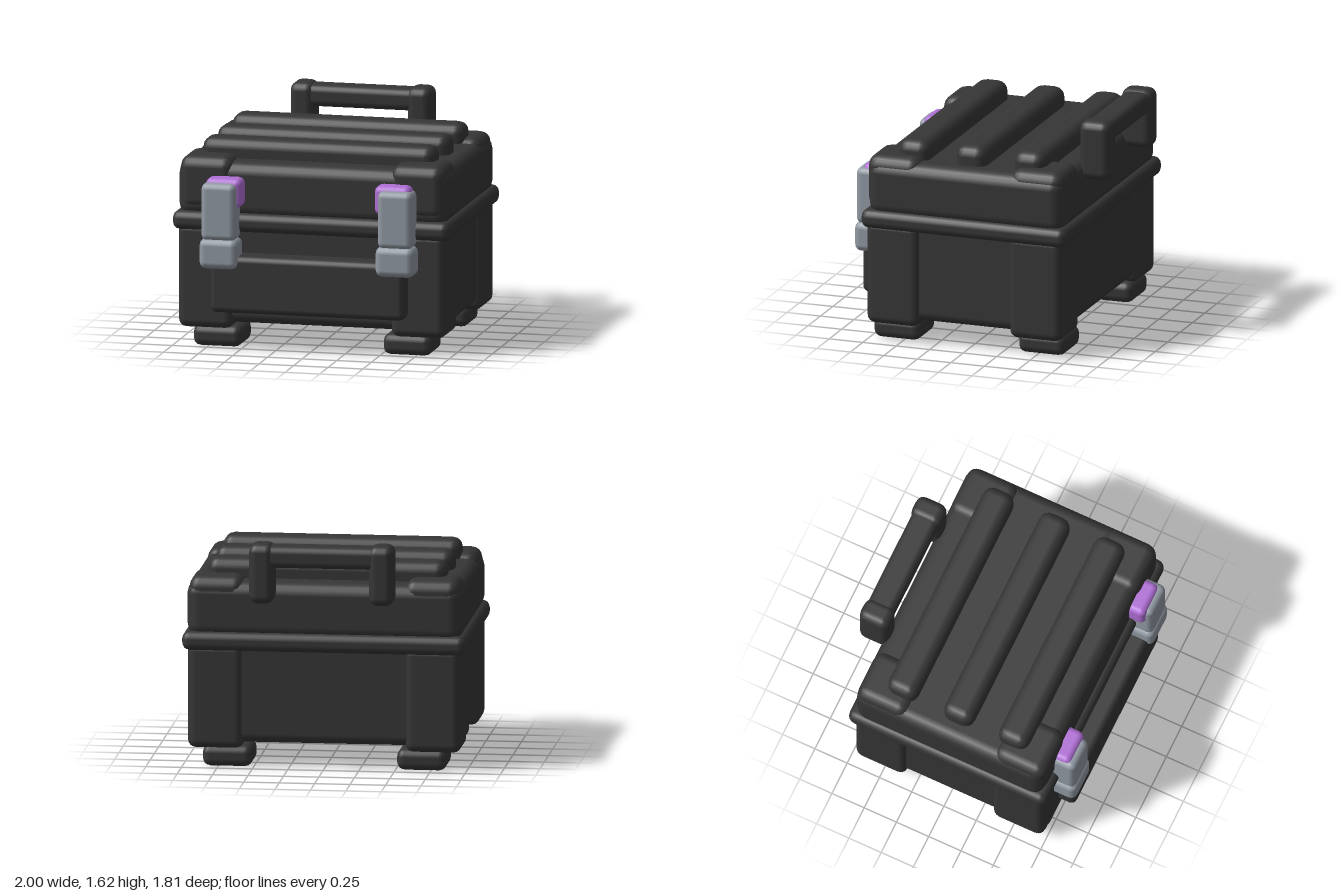
import * as THREE from 'three';
import { RoundedBoxGeometry } from 'three/addons/geometries/RoundedBoxGeometry.js';

const mat = (name, color) => new THREE.MeshStandardMaterial({ name, color });

export function createModel() {
  const casing = mat('charcoal casing', 0x363636);
  const metal = mat('grey metal', 0x929aa4);
  const accent = mat('purple accent', 0xb06fd6);
  const model = new THREE.Group();
  model.name = 'storageCase';

  // Bevelled box given by its extents on each axis
  function block(name, material, [x0, x1], [y0, y1], [z0, z1], bevel) {
    const geometry = new RoundedBoxGeometry(x1 - x0, y1 - y0, z1 - z0, 2, bevel);
    const mesh = new THREE.Mesh(geometry, material);
    mesh.name = name;
    mesh.position.set((x0 + x1) / 2, (y0 + y1) / 2, (z0 + z1) / 2);
    model.add(mesh);
  }

  // The same block on the left and right sides
  function pair(name, material, [x0, x1], y, z, bevel) {
    block(name + 'Left', material, [x0, x1], y, z, bevel);
    block(name + 'Right', material, [-x1, -x0], y, z, bevel);
  }

  // Main shells
  block('body', casing, [-0.93, 0.93], [0.17, 0.9], [-0.69, 0.71], 0.07);
  block('rim', casing, [-1, 1], [0.83, 0.965], [-0.755, 0.775], 0.055);
  block('lid', casing, [-0.97, 0.97], [0.92, 1.32], [-0.72, 0.735], 0.09);

  // Corner armour and feet, front and back
  const ends = [
    { end: 'Front', post: [0.35, 0.745], foot: [0.38, 0.73] },
    { end: 'Back', post: [-0.715, -0.32], foot: [-0.70, -0.35] },
  ];
  for (const { end, post, foot } of ends) {
    pair('cornerPost' + end, casing, [0.57, 0.965], [0.13, 0.88], post, 0.06);
    pair('lidCorner' + end, casing, [0.565, 0.955], [0.97, 1.355], post, 0.08);
    pair('foot' + end, casing, [0.51, 0.86], [0, 0.15], foot, 0.055);
  }

  // Ribs across the lid
  for (const z of [-0.42, 0.015, 0.44]) {
    block('lidRib', casing, [-0.84, 0.84], [1.25, 1.455], [z - 0.115, z + 0.115], 0.075);
  }

  // Front panel
  block('frontPanel', casing, [-0.7, 0.7], [0.27, 0.68], [0.66, 0.87], 0.045);

  // Rear carrying handle
  pair('handlePost', casing, [0.335, 0.51], [1.2, 1.625], [-0.905, -0.675], 0.06);
  block('handleBar', casing, [-0.46, 0.46], [1.455, 1.61], [-0.89, -0.69], 0.05);

  // Latches
  pair('latchArm', metal, [0.51, 0.762], [0.785, 1.195], [0.7, 0.895], 0.045);
  pair('latchFoot', metal, [0.495, 0.775], [0.585, 0.8], [0.7, 0.905], 0.05);
  pair('latchCatch', accent, [0.478, 0.74], [1.015, 1.225], [0.68, 0.85], 0.045);

  return model;
}
